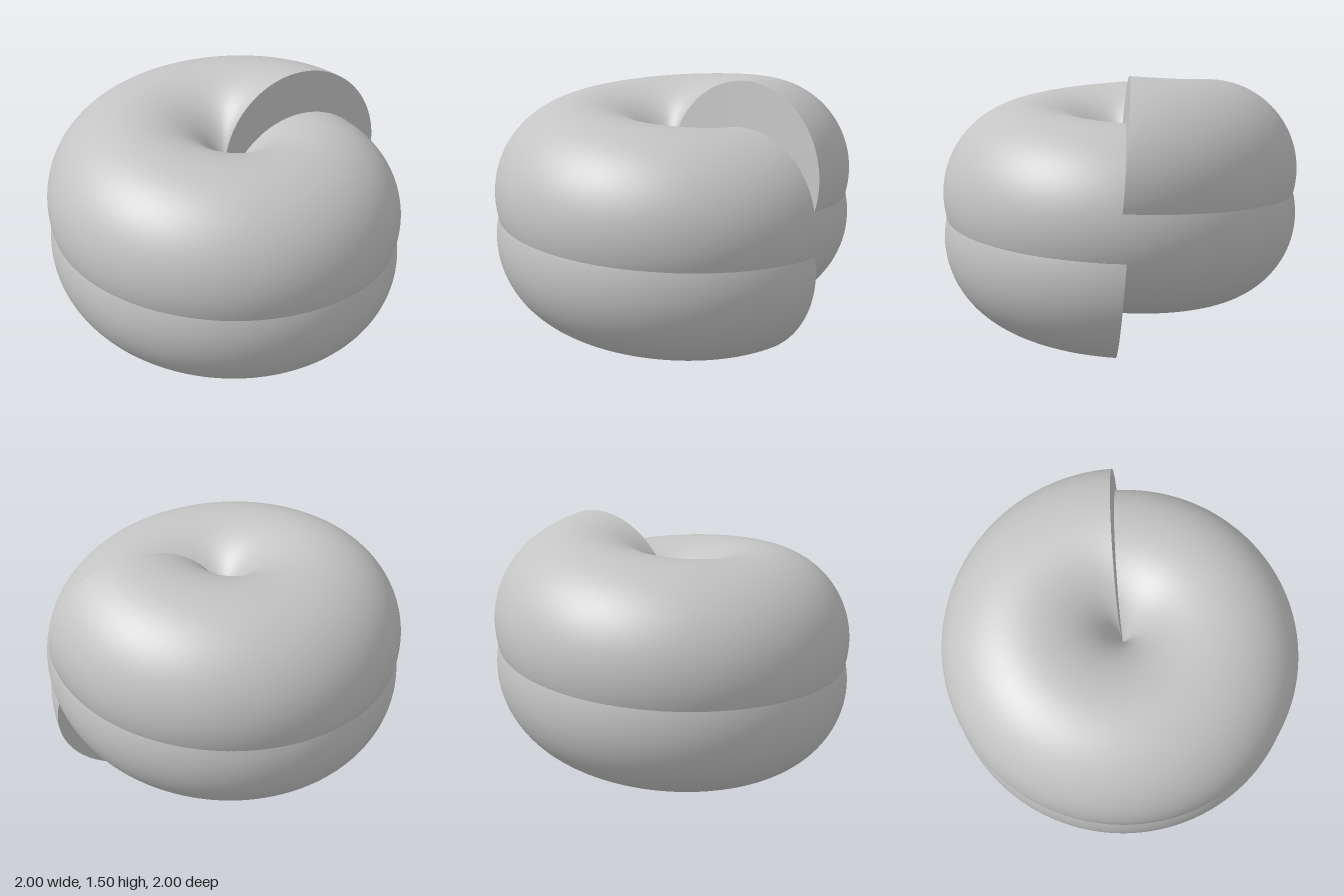
import * as THREE from 'three';

const R = 0.5;        // coil radius
const r = 0.5;        // tube radius
const PITCH = 0.25;   // rise per turn
const TURNS = 2;
const SLOPE = PITCH / (2 * Math.PI * R);

// Centre and axes (outward, up, along) of the tube's round section at an angle
function frame(a) {
  const c = Math.cos(a), s = Math.sin(a);
  return {
    centre: new THREE.Vector3(R * c, r + PITCH * a / (2 * Math.PI), R * s),
    out: new THREE.Vector3(c, 0, s),
    up: new THREE.Vector3(SLOPE * s, 1, -SLOPE * c).normalize(),
    along: new THREE.Vector3(-s, SLOPE, c).normalize(),
  };
}

// Circular section swept along the helix
function coilGeometry(steps, sides) {
  const pos = [], nor = [], index = [];
  for (let i = 0; i <= steps; i++) {
    const f = frame(i / steps * TURNS * 2 * Math.PI);
    for (let j = 0; j <= sides; j++) {
      const b = j / sides * 2 * Math.PI;
      const n = f.out.clone().multiplyScalar(Math.cos(b)).addScaledVector(f.up, Math.sin(b));
      const p = f.centre.clone().addScaledVector(n, r);
      pos.push(p.x, p.y, p.z);
      nor.push(n.x, n.y, n.z);
      if (i < steps && j < sides) {
        const k = i * (sides + 1) + j, m = k + sides + 1;
        index.push(k, k + 1, m, k + 1, m + 1, m);
      }
    }
  }
  const g = new THREE.BufferGeometry();
  g.setAttribute('position', new THREE.Float32BufferAttribute(pos, 3));
  g.setAttribute('normal', new THREE.Float32BufferAttribute(nor, 3));
  g.setIndex(index);
  return g;
}

// Flat disc closing one end of the tube
function endCap(name, angle, dir, sides, material) {
  const f = frame(angle);
  const g = new THREE.CircleGeometry(r, sides);
  g.applyMatrix4(new THREE.Matrix4()
    .makeBasis(f.out, f.up.multiplyScalar(dir), f.along.multiplyScalar(dir))
    .setPosition(f.centre));
  const mesh = new THREE.Mesh(g, material);
  mesh.name = name;
  return mesh;
}

export function createModel() {
  const group = new THREE.Group();
  group.name = 'helicalCoil';
  const grey = new THREE.MeshStandardMaterial({ color: 0xc4c4c4 });
  grey.name = 'light grey';
  const sides = 96;

  const coil = new THREE.Mesh(coilGeometry(320, sides), grey);
  coil.name = 'coilTube';
  group.add(coil);
  group.add(endCap('lowerEndCap', 0, -1, sides, grey));
  group.add(endCap('upperEndCap', TURNS * 2 * Math.PI, 1, sides, grey));
  return group;
}
